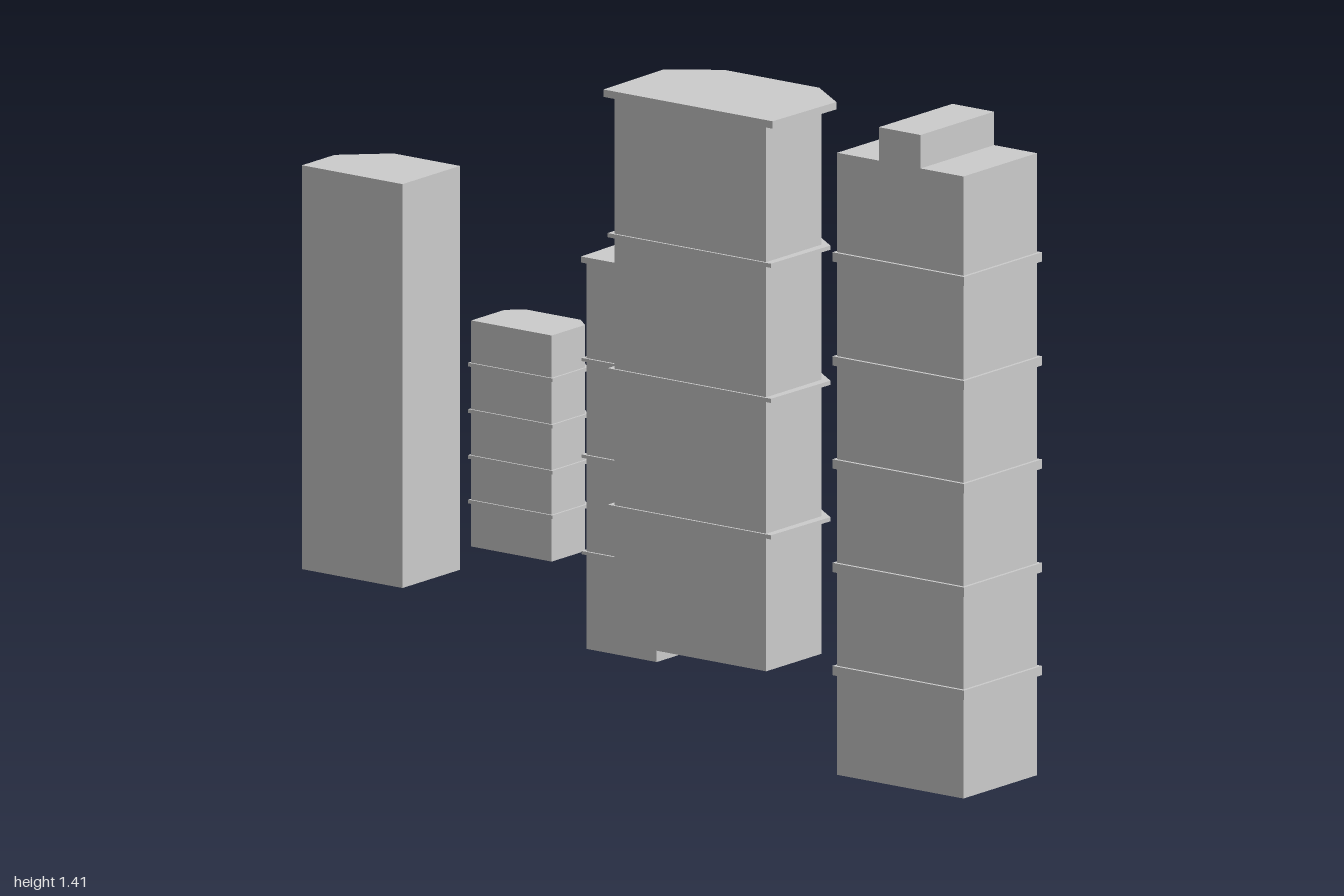
import * as THREE from 'three';

const material = new THREE.MeshStandardMaterial({ color: 0xcccccc, flatShading: true });
const shellMaterial = new THREE.MeshStandardMaterial({ color: 0xcccccc, flatShading: true, side: THREE.DoubleSide });

// Plan points are [x, z]
const toPoints = plan => plan.map(([x, z]) => new THREE.Vector2(x, -z));

// Upright prism over a plan, between two heights, with an optional hole
function prism(parent, name, plan, y0, y1, hole) {
  const shape = new THREE.Shape(toPoints(plan));
  if (hole) shape.holes.push(new THREE.Path(toPoints(hole)));
  const geometry = new THREE.ExtrudeGeometry(shape, { depth: y1 - y0, bevelEnabled: false });
  geometry.rotateX(-Math.PI / 2).translate(0, y0, 0);
  const mesh = new THREE.Mesh(geometry, material);
  mesh.name = name;
  parent.add(mesh);
  return mesh;
}

// Prism without its bottom face: the bottom cap comes first in the extrusion
function shell(parent, name, plan, y0, y1) {
  const mesh = prism(parent, name, plan, y0, y1);
  const source = mesh.geometry.getAttribute('position').array;
  const geometry = new THREE.BufferGeometry();
  geometry.setAttribute('position', new THREE.BufferAttribute(source.slice((plan.length - 2) * 9), 3));
  geometry.computeVertexNormals();
  mesh.geometry = geometry;
  mesh.material = shellMaterial;
}

const rect = (x0, x1, z0, z1) => [[x0, z1], [x1, z1], [x1, z0], [x0, z0]];

// Rectangle with both back corners cut off by cx, cz
const bay = (x0, x1, z0, z1, cx, cz) =>
  [[x0, z1], [x1, z1], [x1, z0 + cz], [x1 - cx, z0], [x0 + cx, z0], [x0, z0 + cz]];

function bands(parent, plan, hole, heights, thickness) {
  for (const y of heights) prism(parent, 'floorBand', plan, y - thickness / 2, y + thickness / 2, hole);
}

function tower(root, name) {
  const group = new THREE.Group();
  group.name = name;
  root.add(group);
  return group;
}

export function createModel() {
  const root = new THREE.Group();
  root.name = 'towerBlocks';

  // Tall rectangular tower with a raised roof block
  const tall = tower(root, 'tallTower');
  const tallPlan = rect(0.66, 0.993, 0.024, 0.276);
  prism(tall, 'body', tallPlan, 0, 1.34);
  prism(tall, 'roofBlock', rect(0.77, 0.88, 0.024, 0.276), 1.34, 1.412);
  bands(tall, rect(0.653, 1, 0.016, 0.283), tallPlan, [0.225, 0.447, 0.67, 0.892, 1.116], 0.02);

  // Wide tower with chamfered back
  const wide = tower(root, 'wideTower');
  const widePlan = bay(0.01, 0.41, -0.058, 0.194, 0.09, 0.063);
  shell(wide, 'body', widePlan, 0.168, 1.342);
  bands(wide, [[-0.004, 0.199], [0.426, 0.199], [0.43, 0], [0.331, -0.073], [0.089, -0.073], [-0.008, 0]],
    widePlan, [0.46, 0.754, 1.045], 0.009);
  prism(wide, 'roofPlate', [[-0.013, 0.202], [0.433, 0.202], [0.438, -0.01], [0.335, -0.085], [0.085, -0.085], [-0.018, -0.01]],
    1.342, 1.358);

  // Slim tower with chamfered back
  const slim = tower(root, 'slimTower');
  const slimPlan = bay(-0.29, -0.105, -0.254, -0.1, 0.038, 0.038);
  shell(slim, 'body', slimPlan, 0.05, 0.882);
  bands(slim, bay(-0.3, -0.095, -0.264, -0.095, 0.043, 0.04), slimPlan, [0.257, 0.465, 0.673], 0.007);
  prism(slim, 'roofPlate', [[-0.3, -0.094], [-0.093, -0.094], [-0.087, -0.226], [-0.13, -0.267], [-0.262, -0.267], [-0.304, -0.226]],
    0.882, 0.895);

  // Short tower with chamfered back
  const small = tower(root, 'shortTower');
  const smallPlan = bay(-0.62, -0.408, -0.278, -0.134, 0.034, 0.03);
  shell(small, 'body', smallPlan, 0.213, 0.7);
  bands(small, bay(-0.625, -0.403, -0.283, -0.13, 0.035, 0.031), smallPlan, [0.31, 0.406, 0.505, 0.605], 0.008);

  // Balcony tower: recessed facade between two end walls
  const balcony = tower(root, 'balconyTower');
  const [bottom, top] = [0.123, 0.993];
  const outer = [[-1, -0.07], [-1, -0.16], [-0.91, -0.245], [-0.755, -0.245]];
  const inner = [[-0.955, -0.07], [-0.955, -0.142], [-0.89, -0.203], [-0.755, -0.203]];
  shell(balcony, 'body', [[-0.955, -0.048], [-0.735, -0.048], [-0.735, -0.203], ...[...inner].reverse().slice(1, 3)], bottom, top - 0.03);
  prism(balcony, 'sideWall', rect(-1, -0.955, -0.07, -0.048), bottom, top - 0.03);
  prism(balcony, 'backWall', rect(-0.755, -0.735, -0.245, -0.203), bottom, top - 0.03);
  prism(balcony, 'roof', [[-1, -0.048], [-0.735, -0.048], [-0.735, -0.245], [-0.91, -0.245], [-1, -0.16]], top - 0.03, top);

  // Stacked balconies following the chamfered corner
  const ring = [...outer, ...[...inner].reverse()];
  for (let i = 0; i < 10; i++) {
    const y = bottom + i * 0.087;
    prism(balcony, 'balcony', ring, y, y + 0.028);
  }
  return root;
}
